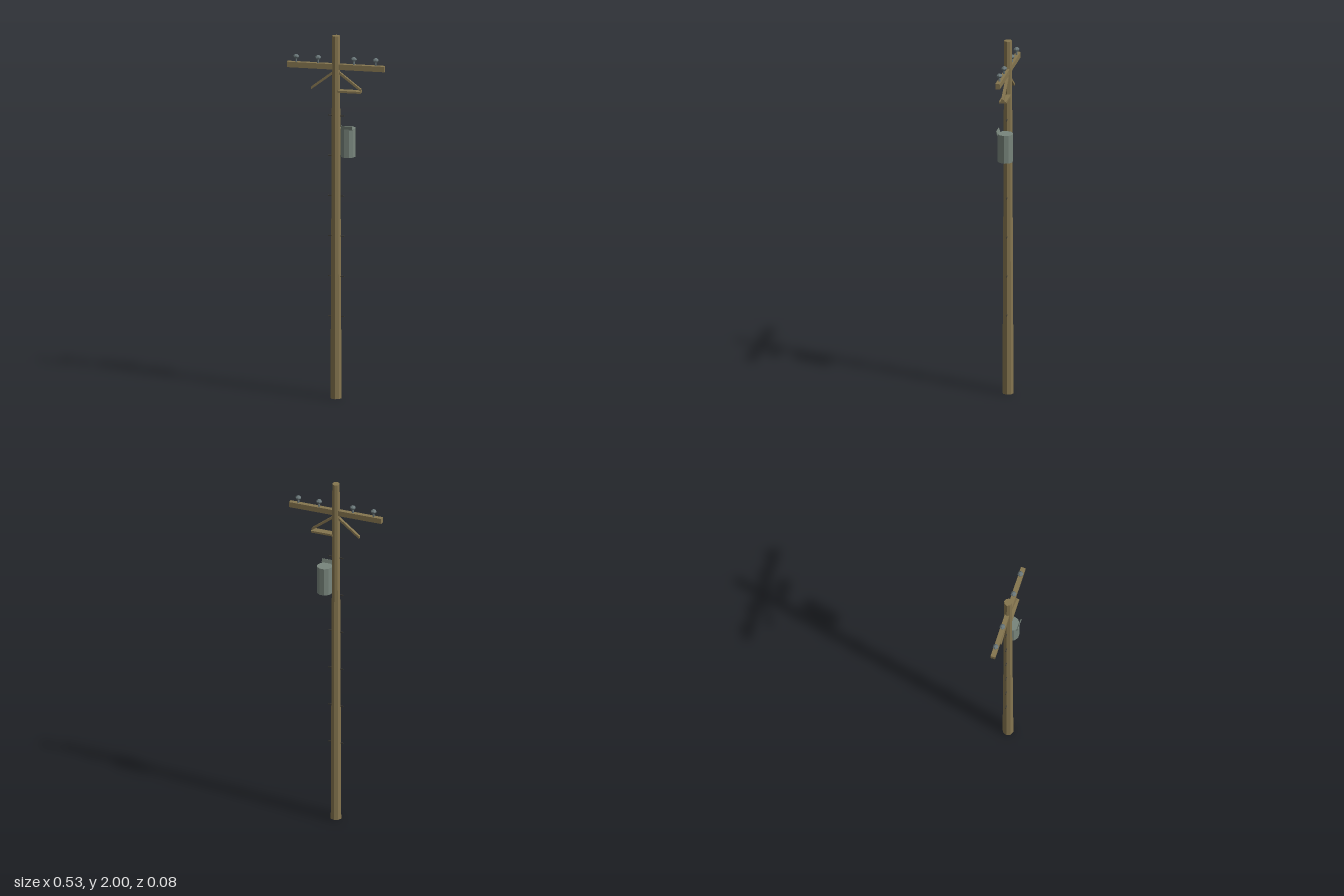
import * as THREE from 'three';

export function createModel() {
  const model = new THREE.Group();
  model.name = 'utilityPole';
  const Z = -0.003; // shared centre line

  const material = (name, color) => {
    const m = new THREE.MeshStandardMaterial({ color, flatShading: true });
    m.name = name;
    return m;
  };
  const wood = material('weatheredWood', 0x85754f);
  const steel = material('greySteel', 0x78857c);
  const glass = material('insulatorGrey', 0x6a7779);
  const iron = material('darkIron', 0x3c3a34);

  const add = (name, geometry, mat, x = 0, y = 0, z = Z, parent = model) => {
    const mesh = new THREE.Mesh(geometry, mat);
    mesh.name = name;
    mesh.position.set(x, y, z);
    parent.add(mesh);
    return mesh;
  };

  // Tapered octagonal pole and crossarm
  add('pole', new THREE.CylinderGeometry(0.0215, 0.0305, 2, 8), wood, -0.001, 1);
  add('crossarm', new THREE.BoxGeometry(0.534, 0.03, 0.025), wood, -0.001, 1.83);

  // Diagonal braces with vertically cut ends
  for (const side of [-1, 1]) {
    const shape = new THREE.Shape([
      new THREE.Vector2(0, 1.802),
      new THREE.Vector2(side * 0.137, 1.698),
      new THREE.Vector2(side * 0.137, 1.712),
      new THREE.Vector2(0, 1.817),
    ]);
    const geometry = new THREE.ExtrudeGeometry(shape, { depth: 0.016, bevelEnabled: false });
    geometry.translate(0, 0, -0.008);
    add(side < 0 ? 'rightBrace' : 'leftBrace', geometry, wood);
  }

  // Flat board under the left brace
  add('shelfBoard', new THREE.BoxGeometry(0.127, 0.011, 0.039), wood, 0.0735, 1.696);

  // Insulators: pin, skirt and cap
  for (const x of [-0.219, -0.099, 0.097, 0.217]) {
    const insulator = new THREE.Group();
    insulator.name = 'insulator';
    insulator.position.set(x, 1.845, Z);
    model.add(insulator);
    add('insulatorPin', new THREE.CylinderGeometry(0.005, 0.005, 0.024, 6), glass, 0, 0.011, 0, insulator);
    const profile = [[0, 0.02], [0.01, 0.02], [0.016, 0.028], [0.016, 0.033], [0.008, 0.041], [0, 0.042]];
    const cap = new THREE.LatheGeometry(profile.map(([r, y]) => new THREE.Vector2(r, y)), 6);
    cap.rotateY(Math.PI / 6);
    add('insulatorCap', cap, glass, 0, 0, 0, insulator);
  }

  // Transformer tank with a small tilted plate on its front rim
  const tank = new THREE.CylinderGeometry(0.042, 0.042, 0.157, 10);
  tank.rotateY(Math.PI / 10);
  add('transformerTank', tank, steel, 0.065, 1.4165);
  const plate = add('transformerPlate', new THREE.BoxGeometry(0.062, 0.024, 0.004), steel, 0.066, 1.503, 0.037);
  plate.rotation.x = 0.25;

  // Climbing rungs through the pole
  for (let i = 0; i < 7; i++) {
    add('climbingRung', new THREE.BoxGeometry(0.088, 0.005, 0.005), iron, 0, 0.452 + i * 0.2215);
  }

  return model;
}
